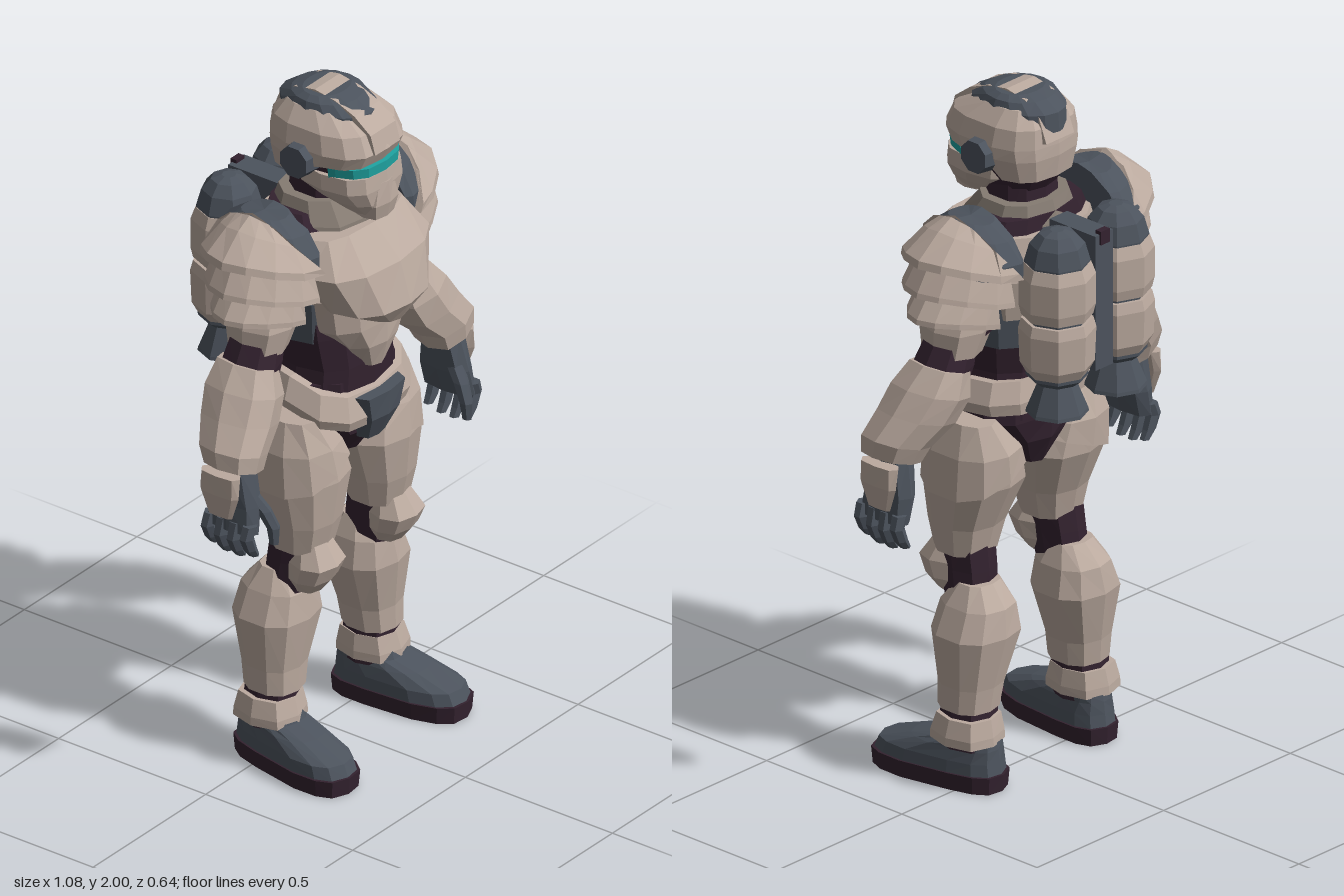
import * as THREE from 'three';

const mat = (name, color) => {
  const m = new THREE.MeshStandardMaterial({ color });
  m.name = name;
  return m;
};

// Closed flat-faced loft through horizontal rings [y, cx, cz, rx, rz], listed bottom to top.
// e squares off the ring; warp moves each corner.
function loft(rings, n = 10, e = 0.8, warp = (x, y, z) => [x, y, z]) {
  const pow = v => Math.sign(v) * Math.pow(Math.abs(v), e);
  const pos = [];
  const loops = rings.map(([y, cx, cz, rx, rz]) => {
    const loop = [];
    for (let i = 0; i < n; i++) {
      const a = (i / n) * Math.PI * 2;
      const s = Math.abs(Math.sin(a)) < 1e-6 ? 0 : Math.sin(a);
      const c = Math.abs(Math.cos(a)) < 1e-6 ? 0 : Math.cos(a);
      loop.push(warp(cx + rx * pow(s), y, cz + rz * pow(c)));
    }
    return loop;
  });
  const mid = l => [0, 1, 2].map(k => l.reduce((t, p) => t + p[k], 0) / n);
  const lo = loops[0], hi = loops[loops.length - 1], cl = mid(lo), ch = mid(hi);
  for (let i = 0; i < n; i++) {
    const j = (i + 1) % n;
    for (let r = 0; r < loops.length - 1; r++) {
      const b = loops[r], t = loops[r + 1];
      pos.push(...b[i], ...b[j], ...t[j], ...b[i], ...t[j], ...t[i]);
    }
    pos.push(...cl, ...lo[j], ...lo[i], ...ch, ...hi[i], ...hi[j]);
  }
  const g = new THREE.BufferGeometry();
  g.setAttribute('position', new THREE.Float32BufferAttribute(pos, 3));
  g.computeVertexNormals();
  return g;
}

// Side profile of [z, y] points extruded across x, centred on x = 0
function sideProfile(points, width) {
  const shape = new THREE.Shape(points.map(([z, y]) => new THREE.Vector2(-z, y)));
  const g = new THREE.ExtrudeGeometry(shape, { depth: width, bevelEnabled: false });
  return g.translate(0, 0, -width / 2).rotateY(Math.PI / 2);
}

// Mirror an unindexed geometry across x = 0, keeping faces outward
function mirror(geo) {
  const g = geo.clone().scale(-1, 1, 1);
  const p = g.attributes.position, a = new THREE.Vector3(), b = new THREE.Vector3();
  for (let i = 0; i < p.count; i += 3) {
    a.fromBufferAttribute(p, i + 1);
    b.fromBufferAttribute(p, i + 2);
    p.setXYZ(i + 1, b.x, b.y, b.z);
    p.setXYZ(i + 2, a.x, a.y, a.z);
  }
  g.computeVertexNormals();
  return g;
}

export function createModel() {
  const root = new THREE.Group();
  root.name = 'armouredFigure';
  const tan = mat('tan armour', 0xbbaa9f);
  const slate = mat('slate', 0x4c535d);
  const dark = mat('dark undersuit', 0x33222f);
  const grey = mat('grey collar', 0x857b72);
  const teal = mat('teal visor', 0x1fa5a3);

  const add = (name, geo, m) => {
    const mesh = new THREE.Mesh(geo, m);
    mesh.name = name;
    root.add(mesh);
  };
  const pair = (name, geo, m) => {
    add(name + 'Left', geo, m);
    add(name + 'Right', mirror(geo), m);
  };

  // Boots, splayed outward
  const foot = g => g.rotateY(0.14).translate(0.22, 0, 0);
  const heel = (x, y, z) => [x * (z < 0.08 ? 0.9 : 1), y, z];
  pair('sole', foot(loft([[0, 0, 0.105, 0.086, 0.203], [0.05, 0, 0.105, 0.091, 0.207]], 14, 0.65, heel)), dark);
  pair('boot', foot(loft([[0.05, 0, 0.105, 0.086, 0.2], [0.085, 0, 0.1, 0.084, 0.19],
    [0.12, 0, 0.05, 0.074, 0.135], [0.14, 0, 0.015, 0.07, 0.095], [0.2, 0.005, 0.01, 0.06, 0.075]], 14, 0.7, heel)), slate);
  pair('ankleCuff', loft([[0.135, 0.228, 0.012, 0.088, 0.098], [0.16, 0.228, 0.012, 0.088, 0.096],
    [0.21, 0.225, 0.01, 0.078, 0.083]], 8, 0.75), tan);
  pair('ankleJoint', loft([[0.12, 0.222, 0.012, 0.075, 0.082], [0.26, 0.218, 0.015, 0.068, 0.072]], 8), dark);

  // Legs
  pair('shin', loft([[0.228, 0.217, 0.018, 0.077, 0.08], [0.3, 0.212, 0.014, 0.084, 0.085],
    [0.45, 0.196, 0.01, 0.118, 0.112], [0.53, 0.187, 0.01, 0.092, 0.1],
    [0.59, 0.182, 0.012, 0.06, 0.05]], 10, 0.8), tan);
  pair('kneeJoint', loft([[0.52, 0.18, 0.04, 0.065, 0.07], [0.62, 0.175, 0.055, 0.066, 0.075],
    [0.72, 0.172, 0.07, 0.07, 0.075]], 8), dark);
  pair('kneePad', loft([[0.54, 0.178, 0.1, 0.045, 0.045], [0.58, 0.178, 0.117, 0.07, 0.06],
    [0.63, 0.176, 0.132, 0.076, 0.068], [0.69, 0.174, 0.115, 0.05, 0.045]], 8, 0.75), tan);
  pair('thigh', loft([[0.665, 0.168, 0.075, 0.082, 0.08], [0.75, 0.164, 0.075, 0.1, 0.1],
    [0.88, 0.157, 0.055, 0.13, 0.135], [0.97, 0.168, 0.045, 0.113, 0.13],
    [1.06, 0.195, 0.045, 0.06, 0.095]], 10, 0.82), tan);
  // Upper thigh plate, its lower edge sloping down to the outside
  pair('thighPlate', loft([[0.9, 0.163, 0.052, 0.129, 0.14], [0.98, 0.172, 0.045, 0.116, 0.134],
    [1.07, 0.2, 0.045, 0.056, 0.095]], 10, 0.82,
  (x, y, z) => [x, y - (y < 0.95 ? (x - 0.16) * 0.35 : 0), z]), tan);

  // Hips and belt
  add('pelvis', loft([[0.9, 0, 0.04, 0.045, 0.09], [0.98, 0, 0.05, 0.11, 0.135],
    [1.05, 0, 0.05, 0.19, 0.14], [1.16, 0, 0.05, 0.185, 0.14]], 10), dark);
  add('belt', loft([[1.09, 0, 0.055, 0.212, 0.163], [1.125, 0, 0.058, 0.225, 0.17],
    [1.185, 0, 0.055, 0.2, 0.152]], 12, 0.75,
  (x, y, z) => [x, y - Math.max(0, z - 0.05) * 0.42, z]), tan);
  add('buckle', loft([[0.965, 0, 0.17, 0.045, 0.035], [1.04, 0, 0.185, 0.075, 0.055],
    [1.115, 0, 0.19, 0.098, 0.055]], 8, 0.6), slate);

  // Torso
  add('torso', loft([[1.06, 0, 0.05, 0.18, 0.14], [1.2, 0, 0.055, 0.17, 0.14],
    [1.3, 0, 0.045, 0.19, 0.145], [1.5, 0, 0.03, 0.205, 0.14], [1.6, 0, 0.02, 0.2, 0.13],
    [1.66, 0, 0, 0.165, 0.1]], 12), dark);
  add('ribBrace', loft([[1.29, 0, 0.03, 0.195, 0.145], [1.42, 0, 0.03, 0.212, 0.16]], 12), slate);
  add('bellyPlate', loft([[1.19, 0, 0.115, 0.05, 0.1], [1.265, 0, 0.11, 0.11, 0.125],
    [1.33, 0, 0.1, 0.17, 0.135], [1.43, 0, 0.1, 0.19, 0.135]], 12, 0.8,
  (x, y, z) => [x, y, Math.max(z, 0.11)]), tan);
  add('chestPlate', loft([[1.35, 0, 0.19, 0.06, 0.09], [1.41, 0, 0.18, 0.175, 0.135],
    [1.53, 0, 0.14, 0.235, 0.14], [1.62, 0, 0.12, 0.185, 0.07]], 12, 0.85,
  (x, y, z) => [x, y, Math.max(z, 0.08)]), tan);
  add('backPlate', loft([[1.38, 0, 0, 0.19, 0.13], [1.5, 0, 0, 0.215, 0.15],
    [1.62, 0, 0, 0.18, 0.13]], 12, 0.75, (x, y, z) => [x, y, Math.min(z, 0)]), tan);
  add('collar', loft([[1.57, 0, 0.03, 0.165, 0.15], [1.63, 0, 0.03, 0.15, 0.14],
    [1.69, 0, 0.015, 0.125, 0.105]], 10), grey);

  // Shoulders: slate cap below three overlapping flared plates
  const shoulder = (rings, xMin, drop) => loft(rings, 16, 1.05, (x, y, z) => {
    const px = Math.max(x, xMin(y));
    return [px, y - drop * Math.min(1, Math.max(0, (0.42 - px) / 0.16)) * Math.min(1, Math.abs(z) / 0.13), z];
  });
  pair('shoulderCap', shoulder([[1.58, 0.21, -0.005, 0.16, 0.17], [1.625, 0.21, -0.005, 0.16, 0.168],
    [1.68, 0.22, -0.005, 0.11, 0.125], [1.706, 0.23, -0.005, 0.06, 0.07]], () => 0.19, 0.03), slate);
  pair('pauldronUpper', shoulder([[1.6, 0.2, 0.003, 0.235, 0.185], [1.622, 0.2, 0.003, 0.23, 0.182],
    [1.685, 0.215, 0, 0.14, 0.135], [1.712, 0.23, 0, 0.075, 0.08]],
  y => 0.21 + Math.max(0, y - 1.6) * 0.72, 0.05), tan);
  pair('pauldronMiddle', shoulder([[1.51, 0.2, 0.008, 0.234, 0.175], [1.525, 0.2, 0.008, 0.23, 0.173],
    [1.61, 0.2, 0.005, 0.18, 0.15]], () => 0.23, 0.04), tan);
  pair('pauldronLower', shoulder([[1.43, 0.215, 0.01, 0.217, 0.14], [1.445, 0.215, 0.01, 0.215, 0.14],
    [1.52, 0.21, 0.01, 0.165, 0.13]], () => 0.25, 0.03), tan);

  // Arms
  pair('armpit', loft([[1.36, 0.24, 0.01, 0.075, 0.08], [1.58, 0.22, 0, 0.09, 0.12]], 8), dark);
  pair('upperArm', loft([[1.305, 0.285, 0.015, 0.073, 0.08], [1.38, 0.268, 0.015, 0.09, 0.098],
    [1.46, 0.245, 0.01, 0.085, 0.09]], 8), tan);
  pair('elbow', loft([[1.2, 0.345, 0.02, 0.072, 0.078], [1.27, 0.32, 0.018, 0.08, 0.08],
    [1.34, 0.29, 0.015, 0.068, 0.07]], 8), dark);
  pair('forearm', loft([[1.01, 0.467, 0.07, 0.074, 0.075], [1.06, 0.457, 0.062, 0.084, 0.088],
    [1.14, 0.4, 0.04, 0.095, 0.1], [1.22, 0.36, 0.025, 0.092, 0.105],
    [1.295, 0.333, 0.015, 0.065, 0.085]], 8, 0.75,
  (x, y, z) => [x, y + (x - 0.4) * 0.3, z]), tan);

  // Hands
  pair('palm', loft([[0.855, 0.48, 0.08, 0.034, 0.084], [0.93, 0.467, 0.075, 0.042, 0.08],
    [1.04, 0.46, 0.07, 0.045, 0.055]], 8, 0.7), slate);
  pair('handGuard', loft([[0.9, 0.52, 0.065, 0.01, 0.04], [0.97, 0.524, 0.065, 0.018, 0.065],
    [1.03, 0.517, 0.065, 0.025, 0.065]], 8, 0.7), tan);
  for (let i = 0; i < 4; i++) {
    const z = 0.012 + i * 0.044, y = 0.765 + Math.abs(i - 1.5) * 0.012;
    pair('finger' + (i + 1), loft([[y, 0.473, z, 0.015, 0.015], [y + 0.025, 0.49, z, 0.02, 0.019],
      [y + 0.065, 0.506, z, 0.022, 0.02], [0.885, 0.492, z + 0.002, 0.024, 0.021]], 6, 1), slate);
  }
  pair('thumb', loft([[0.81, 0.428, 0.178, 0.013, 0.014], [0.86, 0.428, 0.175, 0.019, 0.02],
    [0.91, 0.438, 0.15, 0.021, 0.024], [0.96, 0.455, 0.11, 0.024, 0.027]], 6, 1), slate);

  // Neck and head
  add('neck', loft([[1.6, 0, 0.02, 0.1, 0.09], [1.8, 0, 0.03, 0.09, 0.09]], 10), dark);
  add('headCore', loft([[1.72, 0, 0.055, 0.09, 0.12], [1.78, 0, 0.055, 0.12, 0.155],
    [1.88, 0, 0.055, 0.125, 0.155]], 12, 0.75), dark);
  add('helmet', loft([[1.765, 0, 0.03, 0.125, 0.135], [1.83, 0, 0.05, 0.145, 0.165],
    [1.865, 0, 0.062, 0.148, 0.176], [1.92, 0, 0.053, 0.136, 0.16], [1.965, 0, 0.03, 0.1, 0.1],
    [1.98, 0, 0.03, 0.05, 0.06]], 14, 0.7,
  (x, y, z) => [x, z > 0.06 && y < 1.85 ? 1.826 - 0.008 * (z > 0.2 ? 1 : 0) : y, z]), tan);
  add('crest', sideProfile([[0.236, 1.865], [0.22, 1.92], [0.165, 1.962], [0.1, 1.988], [0.03, 2],
    [-0.04, 1.987], [-0.09, 1.95], [-0.118, 1.88], [0, 1.85]], 0.11), tan);
  add('crestStripes', loft([[1.9, 0, 0.035, 0.104, 0.15], [1.955, 0, 0.035, 0.104, 0.145],
    [1.982, 0, 0.032, 0.095, 0.1], [1.994, 0, 0.03, 0.075, 0.06]], 16, 0.95), slate);
  add('visor', loft([[1.788, 0, 0.065, 0.124, 0.165], [1.825, 0, 0.065, 0.13, 0.167]], 16, 0.7,
    (x, y, z) => [x, y, Math.max(z, 0.13)]), teal);
  add('faceMask', loft([[1.665, 0, 0.165, 0.055, 0.055], [1.705, 0, 0.14, 0.095, 0.095],
    [1.75, 0, 0.11, 0.13, 0.128], [1.796, 0, 0.105, 0.128, 0.128]], 12, 0.7), tan);
  add('muzzle', loft([[1.655, 0, 0.19, 0.05, 0.045], [1.7, 0, 0.19, 0.062, 0.055],
    [1.765, 0, 0.19, 0.04, 0.05]], 8, 0.6), tan);
  pair('earDisc', new THREE.CylinderGeometry(0.048, 0.054, 0.055, 8).toNonIndexed()
    .rotateY(Math.PI / 8).rotateZ(-Math.PI / 2).translate(0.143, 1.83, 0.045), slate);

  // Jetpack: twin tanks on a central spine
  const tank = rows => loft(rows.map(([y, r]) => [y, 0.116, -0.215, r, r]), 8, 1);
  pair('tankUpper', tank([[1.43, 0.098], [1.46, 0.105], [1.55, 0.105], [1.585, 0.092]]), tan);
  pair('tankLower', tank([[1.25, 0.08], [1.29, 0.102], [1.39, 0.106], [1.42, 0.098]]), tan);
  pair('tankCore', tank([[1.23, 0.06], [1.25, 0.085], [1.59, 0.09], [1.64, 0.076], [1.67, 0.05], [1.68, 0.02]]), slate);
  pair('nozzle', tank([[1.14, 0.086], [1.15, 0.084], [1.245, 0.046]]), slate);
  pair('nozzleThroat', tank([[1.137, 0.065], [1.142, 0.065]]), dark);
  add('spine', new THREE.BoxGeometry(0.07, 0.4, 0.17).translate(0, 1.45, -0.195), slate);
  add('spineLatch', new THREE.BoxGeometry(0.035, 0.04, 0.02).translate(0, 1.64, -0.275), dark);
  add('packMount', new THREE.BoxGeometry(0.26, 0.26, 0.08).translate(0, 1.44, -0.13), slate);

  // Flat facets throughout
  root.traverse(o => {
    if (o.isMesh) {
      if (o.geometry.index) o.geometry = o.geometry.toNonIndexed();
      o.geometry.computeVertexNormals();
    }
  });
  return root;
}
